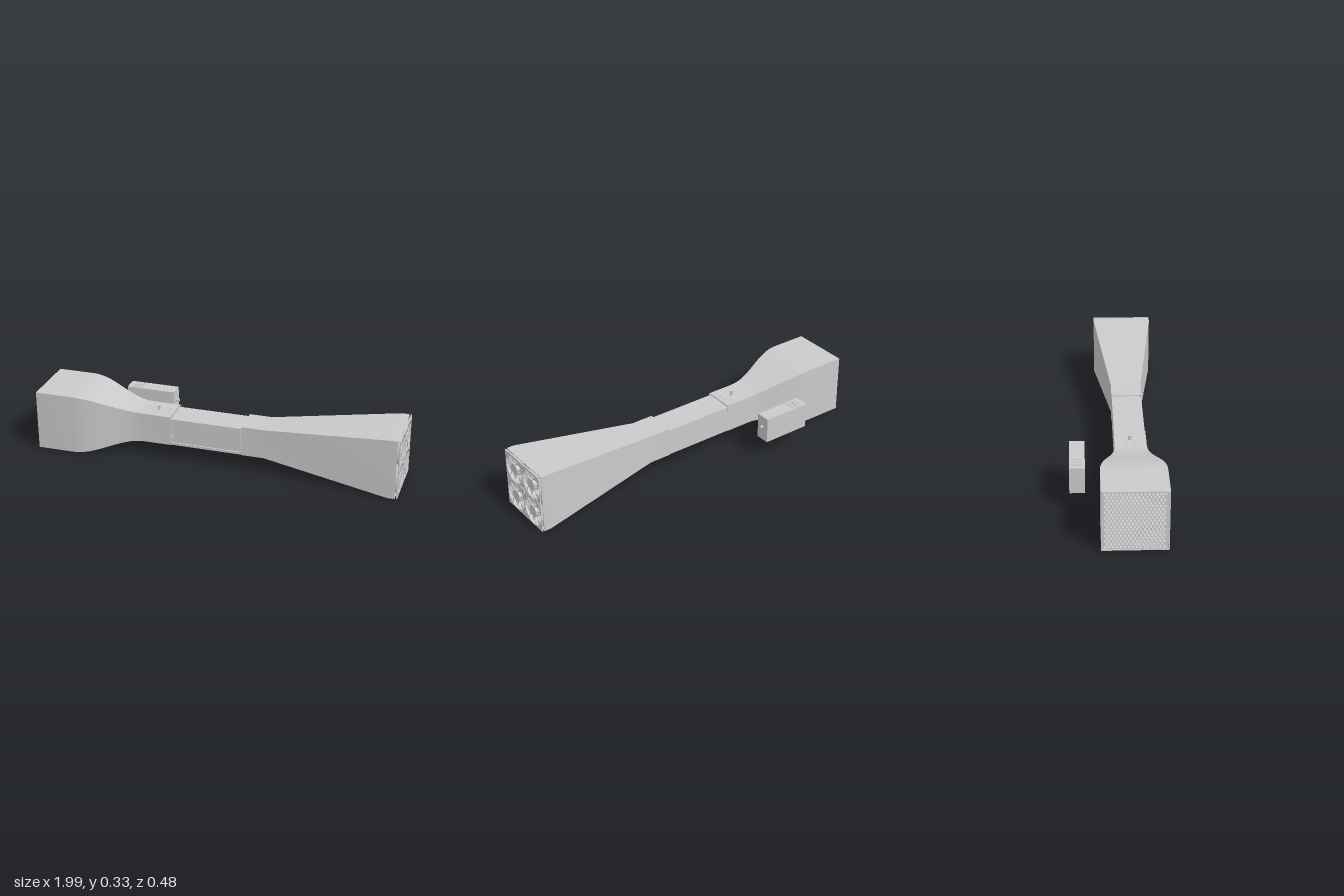
import * as THREE from 'three';
import { toCreasedNormals } from 'three/addons/utils/BufferGeometryUtils.js';
import { ParametricGeometry } from 'three/addons/geometries/ParametricGeometry.js';

const CY = 0.167, CZ = 0.076; // tunnel axis
const grey = new THREE.MeshStandardMaterial({ color: 0xcacaca, side: THREE.DoubleSide });
grey.name = 'light grey';

function add(parent, name, geometry, x = 0, y = 0, z = 0) {
  const mesh = new THREE.Mesh(geometry, grey);
  mesh.name = name;
  mesh.position.set(x, y, z);
  parent.add(mesh);
  return mesh;
}
const box = (w, h, d) => new THREE.BoxGeometry(w, h, d);
const rod = (r, h, n = 20) => new THREE.CylinderGeometry(r, r, h, n);

function rect(w, h) {
  return new THREE.Shape([[-1, -1], [1, -1], [1, 1], [-1, 1]]
    .map(([a, b]) => new THREE.Vector2(a * w / 2, b * h / 2)));
}
function circleHole(shape, x, y, r) {
  shape.holes.push(new THREE.Path().absarc(x, y, r, 0, Math.PI * 2, true));
}
const extrude = (shape, depth, curveSegments = 24) =>
  new THREE.ExtrudeGeometry(shape, { depth, bevelEnabled: false, curveSegments });

// Hollow square duct: stations [x, half size] outside, then back along the inside
function duct(stations, wall = 0.005) {
  const inner = stations.map(([x, h]) => [x, h - wall]).reverse();
  const rings = [...stations, ...inner, stations[0]];
  const pos = [], index = [];
  for (const [x, h] of rings)
    for (const [a, b] of [[1, 1], [1, -1], [-1, -1], [-1, 1]]) pos.push(x, a * h, b * h);
  for (let i = 0; i < rings.length - 1; i++)
    for (let k = 0; k < 4; k++) {
      const a = i * 4 + k, d = i * 4 + (k + 1) % 4;
      index.push(a, a + 4, d, a + 4, d + 4, d);
    }
  const g = new THREE.BufferGeometry();
  g.setAttribute('position', new THREE.Float32BufferAttribute(pos, 3));
  g.setIndex(index);
  return toCreasedNormals(g, 0.5);
}

// Hexagonal flow straightener in the inlet
function honeycomb() {
  const shape = rect(0.322, 0.322), r = 0.0095, pitch = 0.019, row = pitch * 0.866;
  for (let j = -9; j <= 9; j++)
    for (let i = -9; i <= 9; i++) {
      const x = (i + (j % 2 ? 0.5 : 0)) * pitch, y = j * row;
      if (Math.abs(x) > 0.15 || Math.abs(y) > 0.15) continue;
      const pts = [];
      for (let k = 0; k < 6; k++) {
        const a = -(k + 0.5) * Math.PI / 3;
        pts.push(new THREE.Vector2(x + r * Math.cos(a), y + r * Math.sin(a)));
      }
      shape.holes.push(new THREE.Path(pts));
    }
  return extrude(shape, 0.05);
}

// Axial fan, facing local +z
function fan() {
  const g = new THREE.Group();
  g.name = 'fan';
  const flange = rect(0.163, 0.163);
  circleHole(flange, 0, 0, 0.078);
  for (const sx of [-1, 1]) for (const sy of [-1, 1]) circleHole(flange, sx * 0.073, sy * 0.073, 0.004);
  const plate = extrude(flange, 0.006);
  add(g, 'rearFlange', plate, 0, 0, 0);
  add(g, 'frontFlange', plate, 0, 0, 0.024);
  const ring = new THREE.CylinderGeometry(0.0785, 0.0785, 0.026, 40, 1, true).rotateX(Math.PI / 2);
  add(g, 'shroud', ring, 0, 0, 0.015);
  add(g, 'hub', rod(0.033, 0.026, 40).rotateX(Math.PI / 2), 0, 0, 0.0165);

  // Swept, pitched blades
  const blade = new ParametricGeometry((u, v, p) => {
    const r = 0.031 + 0.044 * u;
    const a = 0.72 * (v - 0.5) - 0.4 * u * u;
    p.set(r * Math.cos(a), r * Math.sin(a), 0.004 + 0.017 * v);
  }, 6, 6);
  // Slightly tangential struts over the blades
  const p0 = new THREE.Vector3(0.03, 0, 0.026), p1 = new THREE.Vector3(0.055, 0.006, 0.027);
  const p2 = new THREE.Vector3(0.077, 0.018, 0.027);
  const strut = new THREE.TubeGeometry(new THREE.CatmullRomCurve3([p0, p1, p2]), 8, 0.0025, 6);
  for (let i = 0; i < 7; i++) {
    const a = i / 7 * Math.PI * 2;
    add(g, 'blade', blade).rotation.z = a;
    add(g, 'strut', strut).rotation.z = a + 0.25;
  }
  // Cable outlet at the lower corner
  add(g, 'cableClip', box(0.012, 0.006, 0.004), 0.042, -0.062, 0.029).rotation.z = -0.9;
  add(g, 'cablePlug', box(0.008, 0.01, 0.006), 0.052, -0.072, 0.03);
  return g;
}

export function createModel() {
  const model = new THREE.Group();
  model.name = 'windTunnel';

  // Inlet and smooth contraction
  const inlet = [[-0.998, 0.165], [-0.8, 0.165]];
  for (let i = 1; i <= 20; i++) {
    const t = i / 20;
    inlet.push([-0.8 + 0.39 * t, 0.0825 + 0.0825 * (0.5 + 0.5 * Math.cos(Math.PI * t))]);
  }
  inlet.push([-0.26, 0.0825]);
  add(model, 'contraction', duct(inlet), 0, CY, CZ);
  add(model, 'honeycomb', honeycomb().rotateY(Math.PI / 2), -0.993, CY, CZ);

  // Diffuser widening to the fan collar
  add(model, 'diffuser',
    duct([[0.135, 0.0825], [0.26, 0.0825], [0.94, 0.165], [0.978, 0.165]]), 0, CY, CZ);

  // Test section with a recessed front door
  const test = new THREE.Group();
  test.name = 'testSection';
  test.position.set(-0.0625, 0, CZ);
  model.add(test);
  add(test, 'testRoof', box(0.396, 0.005, 0.16), 0, 0.2355, 0);
  add(test, 'testFloor', box(0.396, 0.005, 0.16), 0, 0.088, 0);
  add(test, 'backWall', box(0.396, 0.15, 0.005), 0, 0.163, -0.0785);
  const frame = rect(0.396, 0.152);
  frame.holes.push(new THREE.Path(rect(0.384, 0.126).getPoints().reverse()));
  add(test, 'doorFrame', extrude(frame, 0.008), 0, 0.162, 0.0725);
  add(test, 'door', box(0.38, 0.122, 0.004), 0, 0.162, 0.075);
  for (const sx of [-1, 1]) for (const sy of [-1, 1])
    add(test, 'doorCatch', box(0.006, 0.008, 0.004), sx * 0.194, 0.162 + sy * 0.06, 0.082);

  // Fan array and its centre bracket
  for (const sy of [-1, 1]) for (const sz of [-1, 1]) {
    const f = fan();
    f.position.set(0.961, CY + sy * 0.0825, CZ + sz * 0.0825);
    f.rotation.y = Math.PI / 2;
    model.add(f);
  }
  const bracket = rect(0.03, 0.028);
  for (const sx of [-1, 1]) for (const sy of [-1, 1]) circleHole(bracket, sx * 0.01, sy * 0.009, 0.0025);
  add(model, 'fanBracket', extrude(bracket, 0.005, 12).rotateY(Math.PI / 2), 0.991, CY, CZ);

  // Probe with mounting screws on the throat roof
  const roof = CY + 0.0825;
  add(model, 'probe', rod(0.008, 0.026), -0.35, roof + 0.01, CZ);
  add(model, 'probeCollar', rod(0.011, 0.006), -0.35, roof + 0.002, CZ);
  for (const x of [-0.38, -0.29]) for (const s of [-1, 1])
    add(model, 'screw', rod(0.005, 0.005, 12), x, roof + 0.001, CZ + s * 0.02);
  // Joint screws and inlet pins
  for (const x of [-0.25, 0.15]) for (const s of [-1, 1])
    add(model, 'jointScrew', rod(0.003, 0.003, 10), x, roof, CZ + s * 0.07);
  for (const s of [-1, 1]) for (let i = 0; i < 4; i++)
    add(model, 'inletPin', rod(0.003, 0.003, 8), -0.94, CY + s * 0.165, 0.09 + i * 0.017);

  // Separate control box with switches, knob and socket
  const control = new THREE.Group();
  control.name = 'controlBox';
  control.position.set(-0.487, 0.17, -0.2);
  model.add(control);
  add(control, 'housing', box(0.275, 0.144, 0.08));
  const bezel = rect(0.064, 0.06);
  for (const sx of [-1, 1]) for (const sy of [-1, 1]) {
    const hole = rect(0.026, 0.024).getPoints().reverse();
    hole.forEach((p) => p.set(p.x + sx * 0.0145, p.y + sy * 0.0135));
    bezel.holes.push(new THREE.Path(hole));
    add(control, 'switch', box(0.018, 0.004, 0.016), -0.08 + sx * 0.0145, 0.072, sy * 0.0135);
  }
  add(control, 'switchBezel', extrude(bezel, 0.003).rotateX(-Math.PI / 2), -0.08, 0.071, 0);
  add(control, 'knob', rod(0.008, 0.02).rotateZ(Math.PI / 2), 0.146, 0.01, 0);
  add(control, 'socket', new THREE.TorusGeometry(0.008, 0.0025, 8, 20).rotateY(Math.PI / 2), -0.1375, 0.005, 0);
  return model;
}
